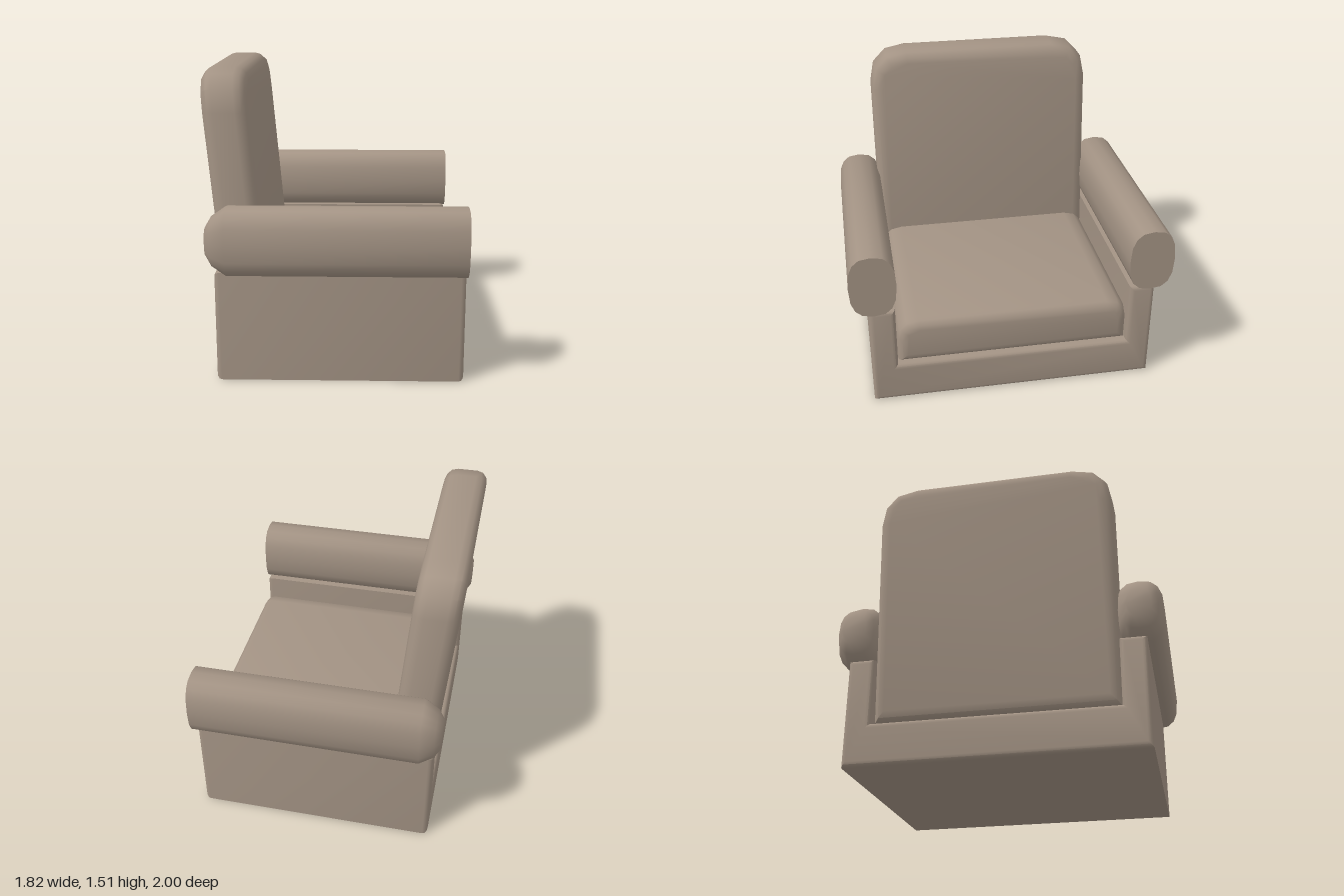
import * as THREE from 'three';
import { toCreasedNormals } from 'three/addons/utils/BufferGeometryUtils.js';

const fabric = new THREE.MeshStandardMaterial({ color: 0xa39384 });
fabric.name = 'taupe fabric';

function part(name, geometry, crease = 0.75) {
  const mesh = new THREE.Mesh(toCreasedNormals(geometry, crease), fabric);
  mesh.name = name;
  return mesh;
}

// Outline with rounded upper corners
function cushionShape(halfWidth, y0, y1, r) {
  const s = new THREE.Shape();
  s.moveTo(-halfWidth, y0);
  s.lineTo(halfWidth, y0);
  s.lineTo(halfWidth, y1 - r);
  s.quadraticCurveTo(halfWidth, y1, halfWidth - r, y1);
  s.lineTo(-halfWidth + r, y1);
  s.quadraticCurveTo(-halfWidth, y1, -halfWidth, y1 - r);
  s.closePath();
  return s;
}

// Extrude from z0 to z1 with softened edges that stay inside the outline
function softExtrude(shape, z0, z1, bevel, curveSegments = 3) {
  const g = new THREE.ExtrudeGeometry(shape, {
    depth: z1 - z0 - 2 * bevel, curveSegments, steps: 1,
    bevelEnabled: true, bevelSize: bevel, bevelThickness: bevel,
    bevelOffset: -bevel, bevelSegments: 3,
  });
  return g.translate(0, 0, z0 + bevel);
}

// Bolster: elliptical-boxy rings along z, closing in at the rear
function armGeometry() {
  const sides = 16, rings = [[-0.65, 0.52, 0.42], [-0.62, 0.78, 0.72], [-0.55, 1, 1], [0.609, 1, 1]];
  const pos = [], idx = [];
  const soft = (t) => Math.sign(t) * Math.pow(Math.abs(t), 0.75);
  for (const [z, sx, sy] of rings) {
    for (let i = 0; i < sides; i++) {
      const a = (i / sides) * Math.PI * 2;
      pos.push(0.118 * sx * soft(Math.cos(a)), 0.71 + 0.17 * sy * soft(Math.sin(a)), z);
    }
  }
  for (let r = 0; r < rings.length - 1; r++) {
    for (let i = 0; i < sides; i++) {
      const a = r * sides + i, b = r * sides + ((i + 1) % sides);
      idx.push(a, b, a + sides, b, b + sides, a + sides);
    }
  }
  const last = (rings.length - 1) * sides;
  for (let i = 1; i < sides - 1; i++) {
    idx.push(0, i + 1, i, last, last + i, last + i + 1);
  }
  const g = new THREE.BufferGeometry();
  g.setAttribute('position', new THREE.Float32BufferAttribute(pos, 3));
  g.setIndex(idx);
  return g;
}

export function createModel() {
  const model = new THREE.Group();
  model.name = 'armchair';
  const chair = new THREE.Group();
  chair.name = 'turnedChair';
  chair.rotation.y = THREE.MathUtils.degToRad(64.8);
  chair.position.set(0, 0, -0.005);
  model.add(chair);

  // U-shaped base: floor and two side walls, open at front and back
  const u = new THREE.Shape([
    [-0.74, 0], [0.74, 0], [0.74, 0.555], [0.607, 0.555], [0.607, 0.215],
    [-0.607, 0.215], [-0.607, 0.555], [-0.74, 0.555],
  ].map(([x, y]) => new THREE.Vector2(x, y)));
  chair.add(part('base', softExtrude(u, -0.615, 0.605, 0.025)));

  // Seat cushion
  const seat = cushionShape(0.604, 0.222, 0.468, 0.11);
  chair.add(part('seatCushion', softExtrude(seat, -0.45, 0.6, 0.05)));

  // Backrest, leaning slightly to the rear
  const back = softExtrude(cushionShape(0.612, 0.222, 1.51, 0.2), -0.674, -0.449, 0.06);
  const p = back.attributes.position;
  for (let i = 0; i < p.count; i++) p.setZ(i, p.getZ(i) - (p.getY(i) - 1.3) * 0.088);
  chair.add(part('backrest', back));

  // Arm bolsters
  for (const [name, side] of [['leftArm', 1], ['rightArm', -1]]) {
    const arm = part(name, armGeometry(), 0.9);
    arm.position.x = side * 0.711;
    chair.add(arm);
  }
  return model;
}
